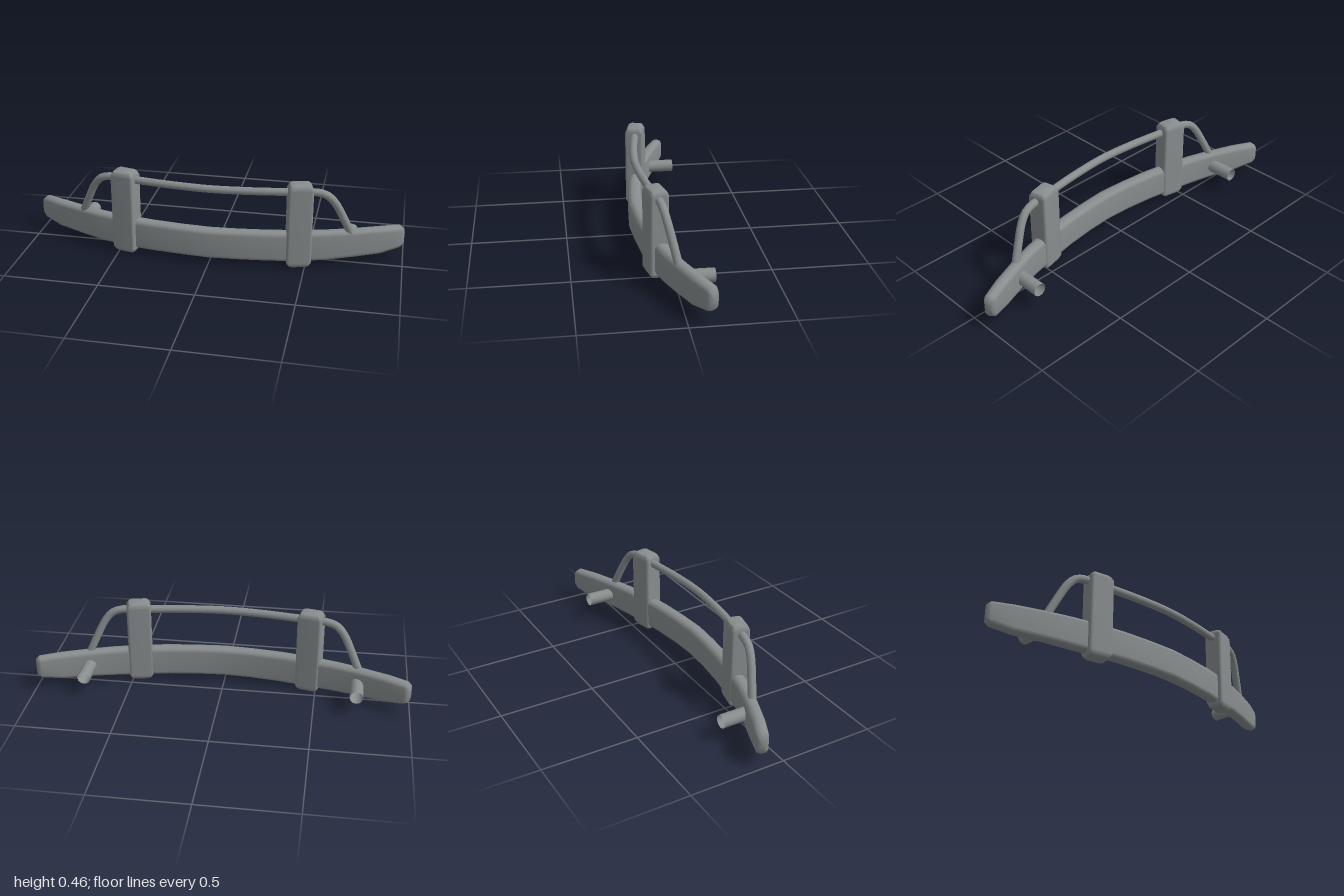
import * as THREE from 'three';

// Rounded rectangle outline, counter-clockwise, as [a, b] pairs
function roundedRect(w, h, r, seg = 2) {
  const pts = [];
  [[1, 1], [-1, 1], [-1, -1], [1, -1]].forEach(([sa, sb], k) => {
    for (let i = 0; i <= seg; i++) {
      const t = (k + i / seg) * Math.PI / 2;
      pts.push([sa * (w / 2 - r) + r * Math.cos(t), sb * (h / 2 - r) + r * Math.sin(t)]);
    }
  });
  return pts;
}

// Skin a list of equal-length rings and cap both ends
function loft(rings) {
  const n = rings[0].length, pos = [], idx = [];
  rings.forEach((ring) => ring.forEach((p) => pos.push(p.x, p.y, p.z)));
  for (let i = 0; i < rings.length - 1; i++) {
    for (let j = 0; j < n; j++) {
      const k = (j + 1) % n, a = i * n + j, b = i * n + k;
      idx.push(a, b, b + n, a, b + n, a + n);
    }
  }
  [0, rings.length - 1].forEach((i) => {
    const c = new THREE.Vector3();
    rings[i].forEach((p) => c.addScaledVector(p, 1 / n));
    const ci = pos.length / 3;
    pos.push(c.x, c.y, c.z);
    for (let j = 0; j < n; j++) {
      const a = i * n + j, b = i * n + (j + 1) % n;
      if (i === 0) idx.push(ci, b, a);
      else idx.push(ci, a, b);
    }
  });
  const g = new THREE.BufferGeometry();
  g.setAttribute('position', new THREE.Float32BufferAttribute(pos, 3));
  g.setIndex(idx);
  g.computeVertexNormals();
  return g;
}

// Curved beam: stations of x, z, bottom, top, thickness for one half
function beamGeometry() {
  const half = [
    [0.15, 0.118, 0.025, 0.19, 0.072],
    [0.31, 0.1, 0.024, 0.19, 0.072],
    [0.46, 0.073, 0.022, 0.19, 0.07],
    [0.6, 0.038, 0.026, 0.19, 0.068],
    [0.73, -0.005, 0.033, 0.19, 0.066],
    [0.87, -0.06, 0.04, 0.19, 0.066],
    [0.972, -0.107, 0.063, 0.188, 0.062],
    [0.99, -0.116, 0.08, 0.172, 0.044],
  ];
  const mirrored = half.map(([x, ...rest]) => [-x, ...rest]).reverse();
  const st = [...mirrored, [0, 0.127, 0.025, 0.19, 0.074], ...half];
  return loft(st.map(([x, z, y0, y1, d], i) => {
    const p = st[Math.max(i - 1, 0)], q = st[Math.min(i + 1, st.length - 1)];
    const t = new THREE.Vector2(q[0] - p[0], q[1] - p[1]).normalize();
    return roundedRect(y1 - y0, d, Math.min(0.024, d * 0.4)).map(([a, b]) =>
      new THREE.Vector3(x - t.y * b, (y0 + y1) / 2 + a, z + t.x * b));
  }));
}

// Upright with bevelled top and bottom: rings of height and inset
function postGeometry() {
  const levels = [[0, 0.016], [0.008, 0.009], [0.028, 0], [0.432, 0], [0.452, 0.009], [0.46, 0.016]];
  return loft(levels.map(([y, inset]) =>
    roundedRect(0.1 - 2 * inset, 0.13 - 2 * inset, 0.014).map(([a, b]) =>
      new THREE.Vector3(b, y, a))));
}

// Hoop rail running over both uprights and down into the beam
function railGeometry() {
  const half = [
    [0.2, 0.413, 0.117], [0.38, 0.413, 0.093], [0.46, 0.413, 0.08], [0.55, 0.413, 0.066],
    [0.6, 0.396, 0.058], [0.64, 0.35, 0.046], [0.68, 0.27, 0.027], [0.727, 0.165, 0.004],
  ];
  const mirrored = half.map(([x, y, z]) => [-x, y, z]).reverse();
  const pts = [...mirrored, [0, 0.413, 0.13], ...half].map((p) => new THREE.Vector3(...p));
  return new THREE.TubeGeometry(new THREE.CatmullRomCurve3(pts), 64, 0.021, 10);
}

export function createModel() {
  const model = new THREE.Group();
  model.name = 'frontBumper';
  const steel = new THREE.MeshStandardMaterial({ color: 0x888d8e, side: THREE.DoubleSide });
  steel.name = 'greySteel';

  const add = (name, geometry) => {
    const mesh = new THREE.Mesh(geometry, steel);
    mesh.name = name;
    model.add(mesh);
    return mesh;
  };

  add('bumperBeam', beamGeometry());
  add('hoopRail', railGeometry());

  // Uprights and open mounting tubes on both sides
  const post = postGeometry();
  const mount = new THREE.CylinderGeometry(0.035, 0.035, 0.17, 12, 1, true).rotateX(Math.PI / 2);
  [['left', 1], ['right', -1]].forEach(([label, s]) => {
    const upright = add(label + 'Upright', post);
    upright.position.set(s * 0.461, 0, 0.08);
    upright.rotation.y = s * 0.225;
    add(label + 'MountTube', mount).position.set(s * 0.72, 0.109, -0.083);
  });
  return model;
}
